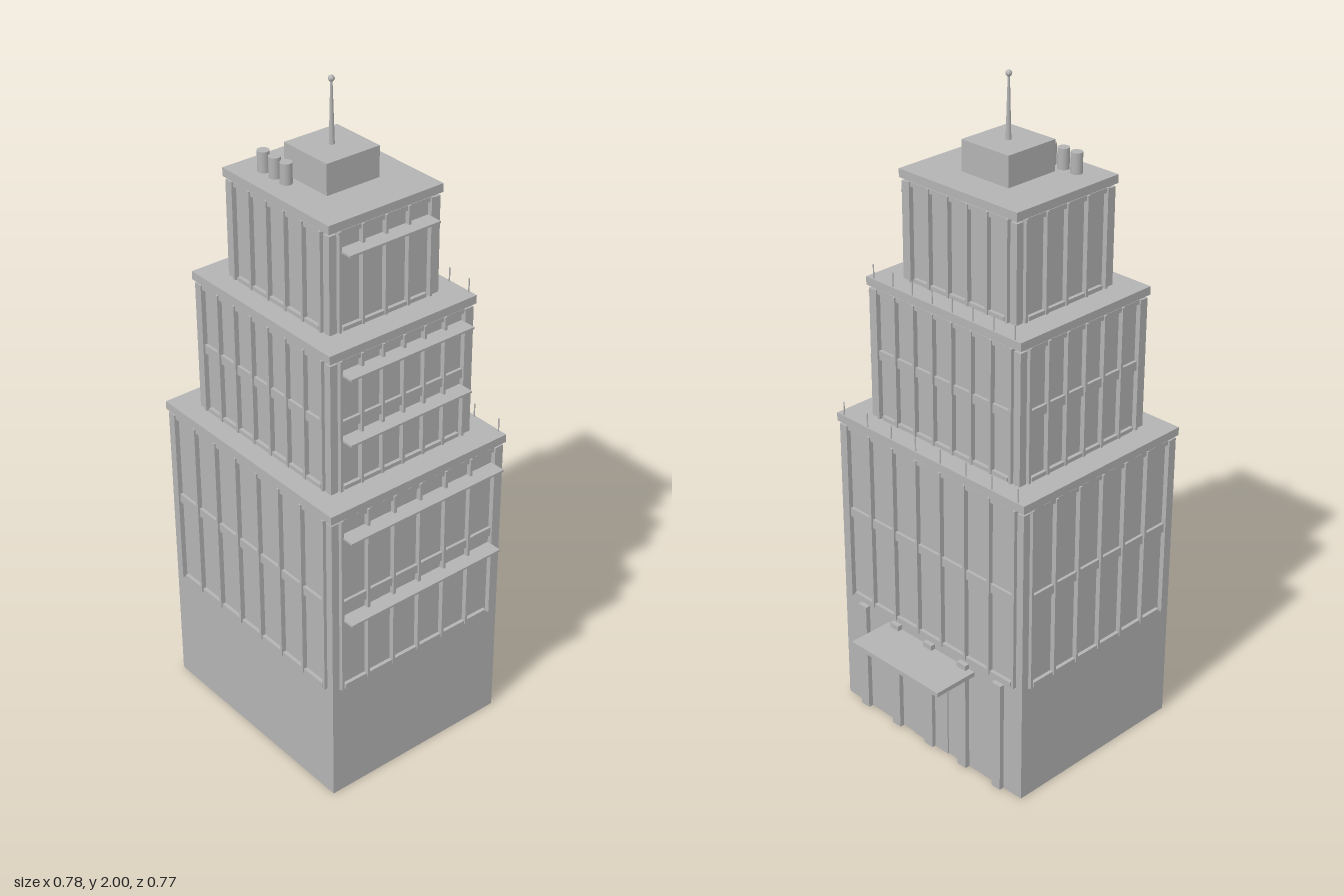
import * as THREE from 'three';

export function createModel() {
  const model = new THREE.Group();
  const grey = new THREE.MeshStandardMaterial({ color: 0xb3b3b3 });
  grey.name = 'concrete grey';
  const CX = -0.0175, CZ = 0.0675; // axis of the tower

  function add(parent, name, geometry, x, y, z) {
    const mesh = new THREE.Mesh(geometry, grey);
    mesh.name = name;
    mesh.position.set(x, y, z);
    parent.add(mesh);
    return mesh;
  }
  // Box given by its limits
  function box(parent, name, x0, x1, y0, y1, z0, z1) {
    return add(parent, name, new THREE.BoxGeometry(x1 - x0, y1 - y0, z1 - z0),
      (x0 + x1) / 2, (y0 + y1) / 2, (z0 + z1) / 2);
  }

  // One facade: bands and mullions, built facing +z and then turned
  function facade(tier, angle, width, depth, t, bays) {
    const side = new THREE.Group();
    side.name = 'facade';
    side.rotation.y = angle;
    const half = width / 2 - 0.037;
    const top = t.y1 - 0.028;
    box(side, 'sill', -half + 0.012, half - 0.012, t.y0 - 0.004, t.y0 + 0.012, depth - 0.01, depth + 0.003);
    box(side, 'lintel', -half, half, top - 0.014, top, depth - 0.01, depth + 0.002);
    for (let f = 1; f < t.floors; f++) {
      const y = t.y0 + (top - t.y0) * f / t.floors;
      box(side, 'floorBand', -half, half, y - 0.014, y + 0.014, depth - 0.01, depth + 0.001);
    }
    for (let i = 0; i <= bays; i++) {
      const x = -half + 2 * half * i / bays;
      box(side, 'mullion', x - 0.004, x + 0.004, t.y0, top, depth - 0.01, depth + 0.007);
    }
    tier.add(side);
  }

  // Podium
  box(model, 'podium', -0.385, 0.35, 0, 0.37, -0.24, 0.375);

  // Three stepped tiers; w and d are the roof slab sizes
  const tiers = [
    { w: 0.745, d: 0.625, y0: 0.37, y1: 0.97, floors: 2, nx: 7, nz: 6, shades: [0.612, 0.885], posts: true },
    { w: 0.595, d: 0.505, y0: 0.97, y1: 1.4, floors: 2, nx: 7, nz: 6, shades: [1.13, 1.33], posts: true },
    { w: 0.443, d: 0.384, y0: 1.4, y1: 1.72, floors: 1, nx: 5, nz: 4, shades: [1.635], posts: false },
  ];
  for (const t of tiers) {
    const tier = new THREE.Group();
    tier.name = 'tier';
    tier.position.set(CX, 0, CZ);
    model.add(tier);
    const bx = t.w / 2 - 0.005, bz = t.d / 2 - 0.005;
    const rx = bx - 0.008, rz = bz - 0.008;
    box(tier, 'recessedWall', -rx, rx, t.y0, t.y1 - 0.02, -rz, rz);
    box(tier, 'roofSlab', -bx - 0.005, bx + 0.005, t.y1 - 0.025, t.y1, -bz - 0.005, bz + 0.005);

    // Corner piers
    for (const sx of [-1, 1]) for (const sz of [-1, 1]) {
      const pier = new THREE.BoxGeometry(0.024, t.y1 - t.y0 - 0.034, 0.024);
      add(tier, 'cornerPier', pier, sx * (bx - 0.012), (t.y0 + t.y1 - 0.034) / 2, sz * (bz - 0.012));
    }
    for (const k of [0, 2]) facade(tier, k * Math.PI / 2, t.w, bz, t, t.nx);
    for (const k of [1, 3]) facade(tier, k * Math.PI / 2, t.d, bx, t, t.nz);

    // Sun shades on the left wall
    for (const y of t.shades) {
      box(tier, 'sunShade', bx - 0.008, bx + 0.042, y - 0.003, y + 0.003, -t.d / 2 + 0.04, t.d / 2 - 0.04);
    }
    // Rail posts along the rear roof edge
    if (t.posts) for (let i = 0; i <= t.nx; i++) {
      const x = (t.w - 0.052) * (i / t.nx - 0.5);
      add(tier, 'railPost', new THREE.CylinderGeometry(0.002, 0.002, 0.045, 6), x, t.y1 + 0.02, -bz);
    }
  }

  // Rear entrance: pilasters, canopy and doors
  for (let i = -2; i <= 2; i++) {
    const x = CX + i * 0.14;
    box(model, 'pilaster', x - 0.017, x + 0.017, 0, 0.36, -0.255, -0.238);
  }
  box(model, 'canopy', -0.197, 0.161, 0.33, 0.344, -0.385, -0.238);
  for (const s of [-1, 1]) {
    const x = CX + s * 0.045;
    box(model, 'door', x - 0.026, x + 0.026, 0, 0.22, -0.244, -0.239);
  }

  // Rooftop plant room, vents and mast
  box(model, 'plantRoom', -0.105, 0.07, 1.72, 1.81, -0.021, 0.156);
  for (let i = 0; i < 3; i++) {
    add(model, 'vent', new THREE.CylinderGeometry(0.017, 0.017, 0.06, 20), -0.153 + i * 0.048, 1.75, 0.188);
  }
  add(model, 'mast', new THREE.CylinderGeometry(0.003, 0.008, 0.18, 12), CX, 1.9, CZ);
  add(model, 'mastTip', new THREE.SphereGeometry(0.009, 14, 10), CX, 1.991, CZ);

  return model;
}
